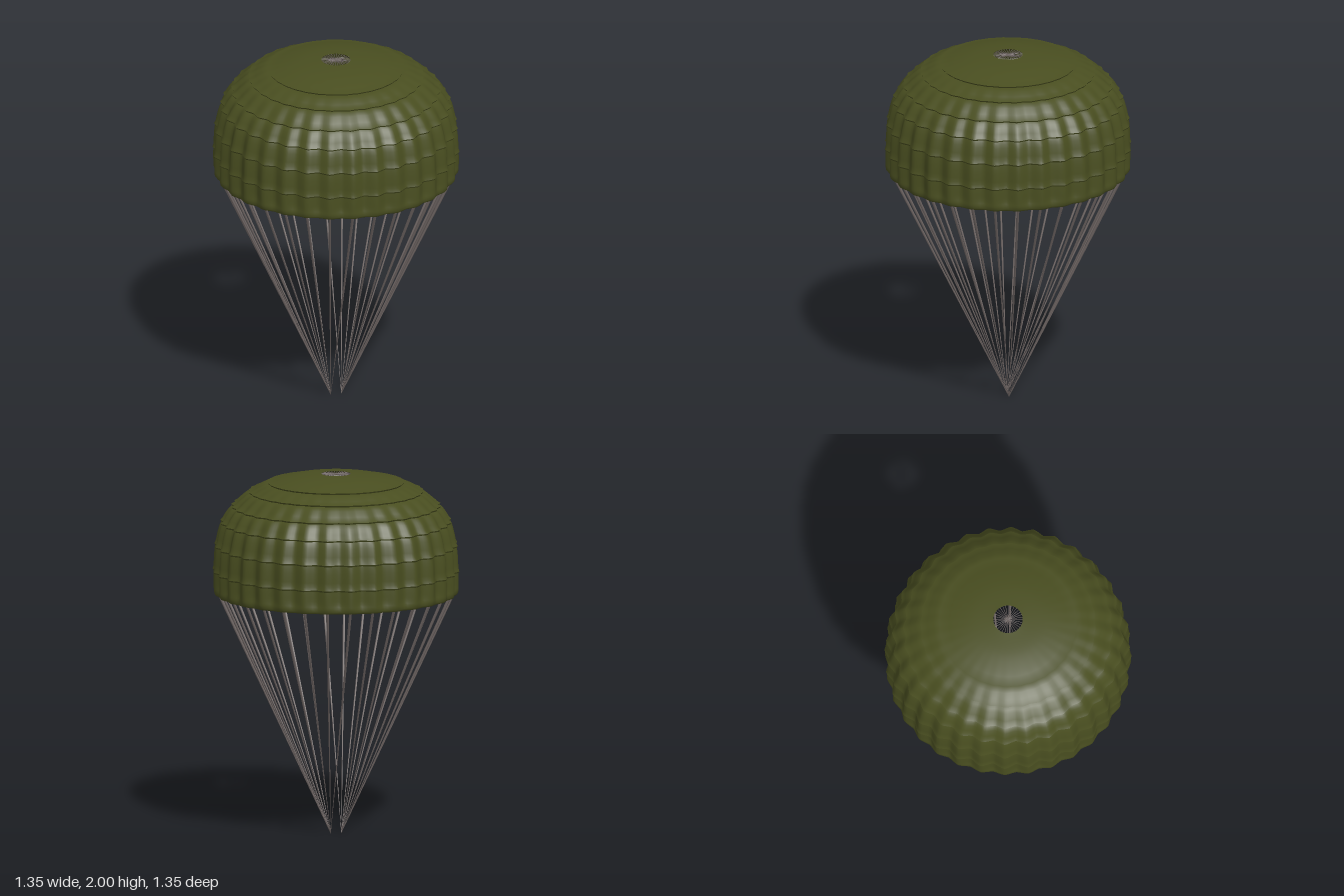
import * as THREE from 'three';

const GORES = 32;
const STEP = (Math.PI * 2) / GORES;

// Surface of revolution whose radius is scalloped once per gore; profile runs from top to bottom.
function fluted(profile) {
  const n = GORES * 8, pos = [], idx = [];
  for (const p of profile) {
    const hem = THREE.MathUtils.smoothstep(p.y, 1.31, 1.4);
    const depth = 0.027 * Math.pow(p.x / 0.672, 4) * (0.45 + 0.55 * hem);
    for (let j = 0; j < n; j++) {
      const a = (j / n) * Math.PI * 2;
      const wave = Math.cos(GORES * a) + 0.09 * Math.cos(3 * GORES * a);
      const r = p.x - depth * (1 + wave / 1.09) / 2;
      pos.push(r * Math.cos(a), p.y, r * Math.sin(a));
    }
  }
  for (let i = 0; i < profile.length - 1; i++) {
    for (let j = 0; j < n; j++) {
      const k = (j + 1) % n;
      const a = i * n + j, c = i * n + k, b = a + n, d = c + n;
      idx.push(a, c, b, b, c, d);
    }
  }
  const g = new THREE.BufferGeometry();
  g.setAttribute('position', new THREE.Float32BufferAttribute(pos, 3));
  g.setIndex(idx);
  g.computeVertexNormals();
  return g;
}

// Tapered straight cord between two points.
function cord(from, to, r0, r1, material, name) {
  const dir = to.clone().sub(from);
  const m = new THREE.Mesh(new THREE.CylinderGeometry(r1, r0, dir.length(), 6), material);
  m.position.copy(from).add(to).multiplyScalar(0.5);
  m.quaternion.setFromUnitVectors(new THREE.Vector3(0, 1, 0), dir.normalize());
  m.name = name;
  return m;
}

export function createModel() {
  const fabric = new THREE.MeshStandardMaterial({ color: 0x494e20, side: THREE.DoubleSide });
  fabric.name = 'olive fabric';
  const cordMat = new THREE.MeshStandardMaterial({ color: 0x6e6563 });
  cordMat.name = 'grey cord';

  const model = new THREE.Group();
  model.name = 'parachute';
  const canopy = new THREE.Group();
  canopy.name = 'canopy';
  const lines = new THREE.Group();
  lines.name = 'suspensionLines';
  const vent = new THREE.Group();
  vent.name = 'ventLines';
  model.add(canopy, lines, vent);

  // Canopy outline from the vent to the skirt
  const outline = [[0.08, 1.998], [0.22, 1.985], [0.37, 1.95], [0.475, 1.9], [0.57, 1.82],
    [0.63, 1.73], [0.663, 1.6], [0.672, 1.46], [0.672, 1.36]].map(([x, y]) => new THREE.Vector2(x, y));
  const curve = new THREE.SplineCurve(outline);
  const last = outline.length - 1;
  const breaks = [0, 2, 3, 4, 5, 6, 7, last];

  // Fabric tiers, each ending in a lip that folds under to meet the next
  for (let t = 0; t < breaks.length - 1; t++) {
    const a = breaks[t], b = breaks[t + 1], rows = 6 * (b - a), profile = [];
    for (let i = 0; i <= rows; i++) profile.push(curve.getPoint((a + (b - a) * i / rows) / last));
    if (t > 0) profile[0].y -= 0.005;
    if (b < last) {
      const lip = profile[rows];
      lip.x += 0.005;
      lip.y += 0.003;
      const under = new THREE.Vector2(outline[b].x, outline[b].y - 0.005);
      const fold = new THREE.Mesh(fluted([lip.clone(), under]), fabric);
      fold.name = 'tierFold';
      canopy.add(fold);
    } else {
      // Rolled hem
      for (const [x, y] of [[0.669, 1.343], [0.66, 1.332], [0.648, 1.33], [0.642, 1.336]]) {
        profile.push(new THREE.Vector2(x, y));
      }
    }
    const tier = new THREE.Mesh(fluted(profile), fabric);
    tier.name = 'canopyTier';
    canopy.add(tier);
  }

  // Suspension lines gather at two points; short cords cross the vent
  const hub = new THREE.Vector3(0, 1.996, 0);
  for (let i = 0; i < GORES; i++) {
    const a = (i + 0.5) * STEP, c = Math.cos(a), s = Math.sin(a);
    const foot = new THREE.Vector3(0.03 * Math.sign(c), 0, 0);
    lines.add(cord(foot, new THREE.Vector3(0.645 * c, 1.34, 0.645 * s), 0.001, 0.008, cordMat, 'suspensionLine'));
    vent.add(cord(hub, new THREE.Vector3(0.083 * c, 1.996, 0.083 * s), 0.0015, 0.0015, cordMat, 'ventLine'));
  }
  return model;
}
